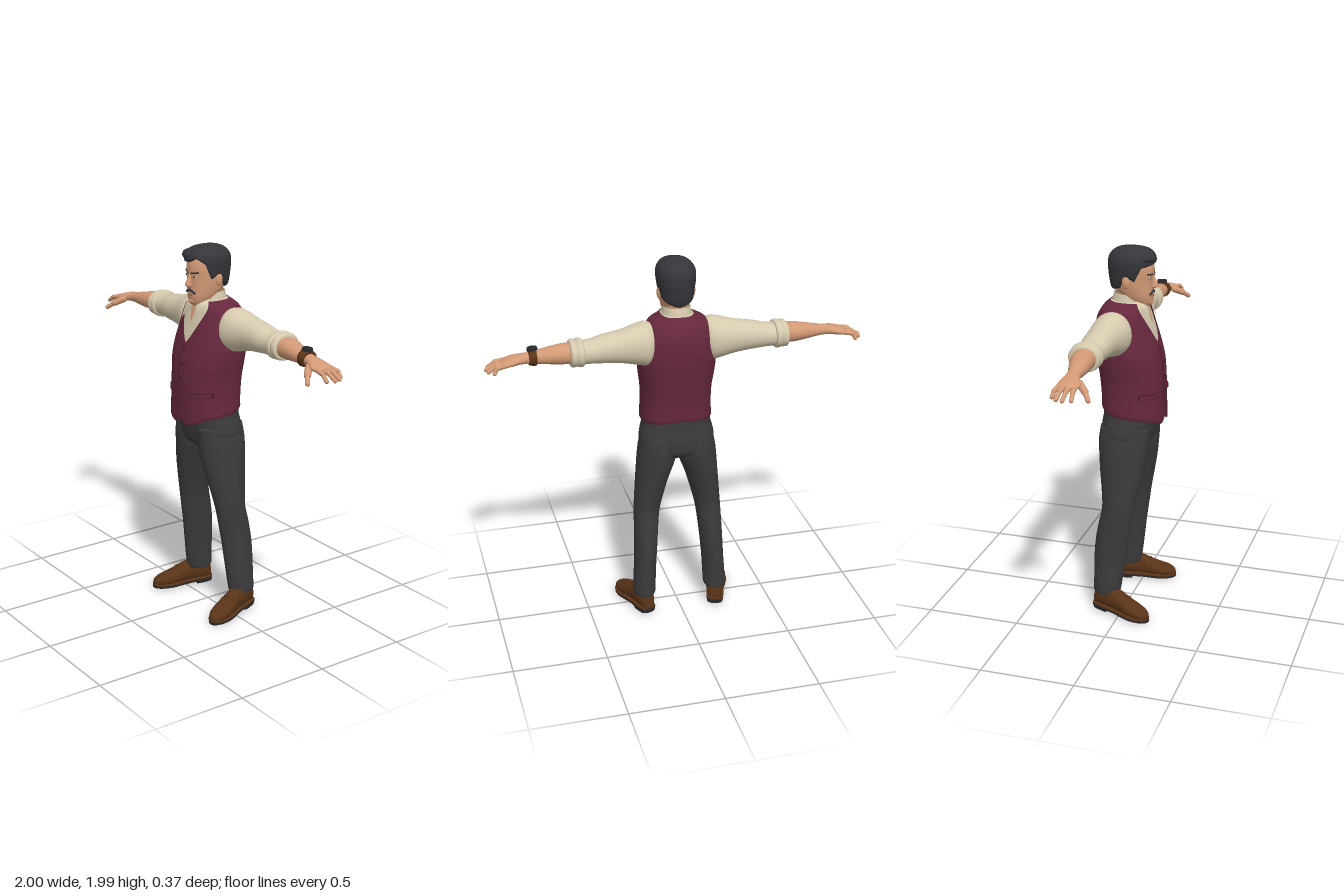
import * as THREE from 'three';
import { mergeVertices } from 'three/addons/utils/BufferGeometryUtils.js';

const mat = (name, color, side = THREE.FrontSide) => {
  const m = new THREE.MeshStandardMaterial({ color, side });
  m.name = name;
  return m;
};
const M = {
  skin: mat('skin', 0xd39a76, THREE.DoubleSide), hair: mat('hair', 0x35363a, THREE.DoubleSide),
  vest: mat('burgundy cloth', 0x66283d, THREE.DoubleSide), trim: mat('dark burgundy', 0x4a1b2b),
  shirt: mat('cream cotton', 0xd6caae, THREE.DoubleSide), trousers: mat('charcoal wool', 0x3b3b3d),
  leather: mat('brown leather', 0x5a3418), dark: mat('dark rubber', 0x27272a),
  lip: mat('lips', 0xa8655a), white: mat('eye white', 0xd8d2ca),
};

// Sections are [along, aMin, aMax, bMin, bMax]; t runs over the section index.
function sample(S, t) {
  const i = Math.min(Math.max(Math.floor(t), 0), S.length - 2), f = t - i;
  const at = (k) => S[Math.min(Math.max(k, 0), S.length - 1)];
  return S[i].map((_, c) => {
    const [p0, p1, p2, p3] = [at(i - 1)[c], at(i)[c], at(i + 1)[c], at(i + 2)[c]];
    const a = (p2 - p0) / 2, b = (p3 - p1) / 2;
    return ((2 * p1 - 2 * p2 + a + b) * f + (3 * p2 - 3 * p1 - 2 * a - b)) * f * f + a * f + p1;
  });
}
const spow = (v, e) => Math.sign(v) * Math.abs(v) ** e;
// Piecewise-linear function through [x, y] pairs
const pw = (P) => (x) => {
  const i = Math.max(1, P.findIndex((p) => p[0] >= x) === -1 ? P.length - 1 : P.findIndex((p) => p[0] >= x));
  const [a, b] = [P[i - 1], P[i]];
  return a[1] + (b[1] - a[1]) * THREE.MathUtils.clamp((x - a[0]) / (b[0] - a[0]), 0, 1);
};

// Lofted superellipse surface whose two ends may vary with the angle around it
function loft(S, { axis = 'y', n = 2, nu = 32, nv = 28, bot = () => 0, top = () => S.length - 1, rim = 1, cap = true } = {}) {
  const pos = [], idx = [], put = (x, y, z) =>
    pos.push(...(axis === 'y' ? [x, y, z] : axis === 'x' ? [y, z, x] : [z, x, y]));
  for (let j = 0; j <= nv; j++) for (let i = 0; i < nu; i++) {
    const th = (i / nu) * 2 * Math.PI, signed = th > Math.PI ? th - 2 * Math.PI : th;
    const [s, a0, a1, b0, b1] = sample(S, THREE.MathUtils.lerp(bot(signed), top(signed), j / nv));
    const k = j === 0 ? rim : 1;
    put((a0 + a1) / 2 + k * (a1 - a0) / 2 * spow(Math.sin(th), 2 / n), s,
      (b0 + b1) / 2 + k * (b1 - b0) / 2 * spow(Math.cos(th), 2 / n));
  }
  for (let j = 0; j < nv; j++) for (let i = 0; i < nu; i++) {
    const a = j * nu + i, b = j * nu + (i + 1) % nu;
    idx.push(a, b, b + nu, a, b + nu, a + nu);
  }
  if (cap) [0, S.length - 1].forEach((k, e) => {
    const [s, a0, a1, b0, b1] = S[k], c = pos.length / 3, r = e * nv * nu;
    put((a0 + a1) / 2, s, (b0 + b1) / 2);
    for (let i = 0; i < nu; i++) {
      const p = r + i, q = r + (i + 1) % nu;
      idx.push(c, e ? p : q, e ? q : p);
    }
  });
  const g = new THREE.BufferGeometry();
  g.setAttribute('position', new THREE.Float32BufferAttribute(pos, 3));
  g.setIndex(idx);
  g.computeVertexNormals();
  return g;
}

// Front z of a vertical loft at (x, y)
function frontZ(S, n, x, y) {
  let lo = 0, hi = S.length - 1;
  for (let k = 0; k < 24; k++) { const m = (lo + hi) / 2; if (sample(S, m)[0] < y) lo = m; else hi = m; }
  const [, a0, a1, b0, b1] = sample(S, lo);
  const q = Math.min(1, Math.abs(x - (a0 + a1) / 2) / ((a1 - a0) / 2));
  return (b0 + b1) / 2 + (b1 - b0) / 2 * (1 - q ** n) ** (1 / n);
}
// Press a geometry onto the front of a loft
function conform(g, S, n, off) {
  const p = g.attributes.position;
  for (let i = 0; i < p.count; i++) p.setZ(i, p.getZ(i) + frontZ(S, n, p.getX(i), p.getY(i)) + off);
  g.computeVertexNormals();
  return g;
}
// Subdivided quad from corners: top left, top right, bottom left, bottom right
function quad(a, b, c, d) {
  const g = new THREE.PlaneGeometry(1, 1, 8, 8), p = g.attributes.position, L = THREE.MathUtils.lerp;
  for (let i = 0; i < p.count; i++) {
    const u = p.getX(i) + 0.5, v = 0.5 - p.getY(i);
    p.setXY(i, L(L(a[0], b[0], u), L(c[0], d[0], u), v), L(L(a[1], b[1], u), L(c[1], d[1], u), v));
  }
  return g;
}
function capsule(a, b, r) {
  const A = new THREE.Vector3(...a), d = new THREE.Vector3(...b).sub(A);
  const g = new THREE.CapsuleGeometry(r, d.length(), 5, 12);
  g.applyQuaternion(new THREE.Quaternion().setFromUnitVectors(new THREE.Vector3(0, 1, 0), d.clone().normalize()));
  return g.translate(...A.addScaledVector(d, 0.5).toArray());
}
const ball = (x, y, z, rx, ry, rz) => new THREE.SphereGeometry(1, 20, 14).scale(rx, ry, rz).translate(x, y, z);
function add(parent, name, geo, material) {
  const m = new THREE.Mesh(geo, material);
  m.name = name;
  parent.add(m);
  return m;
}
// Baked mirror copy across x = 0
function mirrored(src, name) {
  const out = new THREE.Group();
  out.name = name;
  src.updateMatrixWorld(true);
  src.traverse((m) => {
    if (!m.isMesh) return;
    let g = m.geometry.clone();
    if (!g.index) g = mergeVertices(g);
    g.applyMatrix4(m.matrixWorld).scale(-1, 1, 1);
    const ix = g.index.array;
    for (let i = 0; i < ix.length; i += 3) [ix[i], ix[i + 1]] = [ix[i + 1], ix[i]];
    add(out, m.name, g, m.material);
  });
  return out;
}

const sym = (y, rx, zb, zf) => [y, -rx, rx, zb, zf];
const TORSO = [sym(1.06, .185, -.14, .183), sym(1.12, .19, -.15, .18), sym(1.2, .186, -.152, .178), sym(1.3, .187, -.16, .175),
  sym(1.4, .2, -.172, .165), sym(1.48, .203, -.182, .145), sym(1.56, .188, -.185, .122), sym(1.63, .175, -.175, .1),
  sym(1.68, .15, -.15, .085), sym(1.71, .09, -.12, .072), sym(1.725, .068, -.09, .062)];
const TN = 2.4;
const HEAD = [sym(1.685, .03, .03, .085), sym(1.7, .05, -.02, .104), sym(1.735, .068, -.05, .112), sym(1.78, .08, -.085, .111),
  sym(1.83, .085, -.105, .111), sym(1.88, .087, -.115, .116), sym(1.93, .082, -.11, .105), sym(1.965, .06, -.08, .075), sym(1.98, .02, -.03, .03)];
const HN = 2.2;
const HAIR = [sym(1.76, .08, -.1, .1), sym(1.8, .088, -.114, .108), sym(1.85, .094, -.122, .117), sym(1.9, .101, -.125, .123),
  sym(1.945, .098, -.12, .124), sym(1.978, .075, -.092, .1), sym(1.993, .038, -.05, .05), sym(1.995, .004, -.006, .006)];

function buildTorso() {
  const g = new THREE.Group();
  g.name = 'torso';
  const inner = TORSO.map(([y, a, b, c, d]) => [y, a + .007, b - .007, c + .007, d - .007]);
  add(g, 'shirt body', loft(inner.slice(4), { n: TN, nu: 64 }), M.shirt);
  // Waistcoat with V neck and pointed hem
  const hem = pw([[0, .55], [.2, .1], [.9, .75], [Math.PI, 1.4]]), neck = pw([[0, 5.2], [.85, 9.1], [Math.PI, 9.3]]);
  add(g, 'waistcoat', loft(TORSO, { n: TN, nu: 96, nv: 48, bot: (a) => hem(Math.abs(a)), top: (a) => neck(Math.abs(a)), rim: .97, cap: false }), M.vest);
  add(g, 'waistcoat opening', conform(new THREE.BoxGeometry(.005, .38, .004, 1, 24, 1).translate(-.016, 1.3, 0), TORSO, TN, .001), M.trim);
  for (let i = 0; i < 5; i++) {
    const y = 1.17 + i * .073;
    add(g, 'button', ball(.006, y, frontZ(TORSO, TN, .006, y) + .002, .008, .008, .005), M.trim);
  }
  for (const s of [-1, 1]) {
    const pocket = (w, h) => new THREE.BoxGeometry(w, h, .006, 10, 1, 1).rotateZ(s * .08).translate(s * .125, 1.237, 0);
    add(g, 'pocket edge', conform(pocket(.1, .027), TORSO, TN, .001), M.trim);
    add(g, 'pocket welt', conform(pocket(.092, .018), TORSO, TN, .005), M.vest);
    add(g, 'collar leaf', conform(quad([s * .026, 1.722], [s * .068, 1.724], [s * .03, 1.67], [s * .078, 1.605]), TORSO, TN, .013), M.shirt);
  }
  add(g, 'open throat', conform(quad([-.032, 1.72], [.032, 1.72], [-.003, 1.6], [.003, 1.6]), TORSO, TN, .001), M.skin);
  const band = pw([[0, 0], [.45, 1], [1, 1.8], [Math.PI, 2]]);
  add(g, 'collar band', loft([sym(1.685, .086, -.115, .075), sym(1.72, .076, -.105, .07), sym(1.758, .068, -.093, .06)],
    { nu: 48, nv: 8, top: (a) => band(Math.abs(a)), cap: false }), M.shirt);
  add(g, 'neck', loft([sym(1.64, .062, -.08, .06), sym(1.7, .06, -.08, .056), sym(1.77, .062, -.085, .06)]), M.skin);
  return g;
}

function buildHead() {
  const g = new THREE.Group();
  g.name = 'head';
  const on = (x, y, o = 0) => [x, y, frontZ(HEAD, HN, x, y) + o];
  add(g, 'face', loft(HEAD, { n: HN, nu: 48 }), M.skin);
  const line = pw([[-Math.PI, .1], [-1.95, .8], [-1.6, 2], [-1.25, 1.5], [-.95, 3], [0, 3.3], [.5, 3.8], [.95, 3.2], [1.25, 1.5], [1.6, 2], [1.95, .8], [Math.PI, .1]]);
  add(g, 'hair', loft(HAIR, { n: 2.15, nu: 96, nv: 28, bot: line, rim: .9, cap: false }), M.hair);
  add(g, 'swept fringe', ball(-.02, 1.948, .085, .06, .032, .045).rotateZ(0), M.hair);
  add(g, 'nose', loft([sym(1.783, .009, .1, .117), sym(1.793, .018, .1, .135), sym(1.808, .014, .1, .137), sym(1.842, .009, .1, .121), sym(1.865, .008, .1, .115)], { nu: 20, nv: 14 }), M.skin);
  add(g, 'mouth', ball(...on(0, 1.748, -.002), .024, .006, .006), M.lip);
  add(g, 'chin', ball(0, 1.713, .09, .03, .02, .024), M.skin);
  for (const s of [-1, 1]) {
    add(g, 'eye', ball(...on(s * .034, 1.844, -.001), .014, .006, .004), M.white);
    add(g, 'iris', ball(...on(s * .034, 1.844, .001), .006, .006, .0035), M.dark);
    add(g, 'eyebrow', capsule(on(s * .015, 1.86), on(s * .052, 1.866), .0048), M.hair);
    add(g, 'moustache', capsule(on(s * .005, 1.771, .001), on(s * .033, 1.758, .001), .0065), M.hair);
    add(g, 'ear', ball(s * .09, 1.825, -.008, .011, .034, .02), M.skin);
  }
  return g;
}

function buildArm() {
  const g = new THREE.Group();
  g.name = 'left arm';
  const o = { axis: 'x', n: 2.1 };
  add(g, 'sleeve', loft([[.12, -.12, .015, 1.5, 1.665], [.165, -.152, .048, 1.458, 1.688], [.21, -.155, .044, 1.465, 1.685], [.3, -.15, .02, 1.488, 1.662],
    [.4, -.146, .01, 1.5, 1.645], [.47, -.142, .0, 1.505, 1.628], [.53, -.145, 0, 1.505, 1.628]], o), M.shirt);
  add(g, 'rolled cuff', loft([[.502, -.138, -.005, 1.512, 1.62], [.508, -.157, .01, 1.497, 1.637], [.53, -.158, .012, 1.495, 1.64], [.54, -.152, .006, 1.5, 1.634],
    [.552, -.157, .01, 1.497, 1.638], [.569, -.152, .006, 1.5, 1.633], [.574, -.136, -.005, 1.513, 1.62]], o), M.shirt);
  add(g, 'forearm and palm', loft([[.55, -.13, -.01, 1.515, 1.622], [.62, -.126, -.01, 1.515, 1.617], [.7, -.106, -.012, 1.521, 1.6], [.77, -.087, -.018, 1.527, 1.585],
    [.82, -.09, -.005, 1.527, 1.577], [.86, -.098, .012, 1.522, 1.567], [.9, -.098, .006, 1.52, 1.555], [.913, -.08, -.01, 1.527, 1.547]], o), M.skin);
  // Four fingers and a thumb: base z, tip z, tip x
  for (const [zb, zt, x] of [[-.086, -.098, .955], [-.06, -.069, .982], [-.033, -.036, .99], [-.006, .004, .976]]) {
    const mid = [.94, 1.531, (zb + zt) / 2];
    add(g, 'finger', capsule([.885, 1.54, zb], mid, .0125), M.skin);
    add(g, 'fingertip', capsule(mid, [x, 1.505, zt], .0105), M.skin);
  }
  add(g, 'thumb base', capsule([.83, 1.54, -.005], [.87, 1.515, .035], .018), M.skin);
  add(g, 'thumb', capsule([.87, 1.515, .035], [.905, 1.487, .062], .0125), M.skin);
  return g;
}

function buildLeg() {
  const g = new THREE.Group();
  g.name = 'left leg';
  add(g, 'trouser leg', loft([[.112, .142, .258, -.153, -.012], [.13, .138, .26, -.156, -.006], [.2, .135, .257, -.155, .005], [.3, .13, .25, -.155, .018], [.4, .122, .246, -.15, .03],
    [.5, .113, .243, -.135, .045], [.6, .1, .24, -.115, .06], [.7, .075, .233, -.122, .08], [.8, .045, .225, -.135, .1], [.9, .008, .217, -.146, .115],
    [.97, .0, .208, -.15, .122], [1.05, .01, .19, -.14, .125]], { n: 1.9, nv: 44 }), M.trousers);
  // Shoe built along its own z, then turned out
  const shoe = new THREE.Group();
  shoe.name = 'shoe';
  const S = [[-.166, .02, .07, -.018, .018], [-.155, .01, .11, -.037, .037], [-.1, .01, .132, -.044, .044], [-.03, .01, .125, -.043, .043], [.03, .01, .098, -.051, .051],
    [.08, .01, .078, -.055, .055], [.13, .01, .064, -.045, .045], [.16, .012, .05, -.026, .026], [.17, .02, .035, -.01, .01]];
  add(shoe, 'shoe upper', loft(S, { axis: 'z', n: 2.3 }), M.leather);
  add(shoe, 'welt', loft(S.map(([z, , , a, b]) => [z * 1.02, .012, .024, a * 1.1, b * 1.1]), { axis: 'z', n: 6, nu: 40 }), M.leather);
  add(shoe, 'sole', loft(S.map(([z, , , a, b]) => [z * 1.02, 0, .013, a * 1.08, b * 1.08]), { axis: 'z', n: 6, nu: 40 }), M.dark);
  add(shoe, 'heel', loft([[-.166, -.012, .01, -.02, .02], [-.152, -.012, .01, -.04, .04], [-.11, -.012, .01, -.046, .046], [-.075, -.012, .01, -.046, .046]], { axis: 'z', n: 6 }), M.dark);
  add(shoe, 'shoe strap', new THREE.TorusGeometry(.047, .006, 8, 24, Math.PI).scale(1, 1.1, 1.6).rotateX(-.35).translate(0, .052, .035), M.leather);
  shoe.rotation.set(.065, .3, 0, 'YXZ');
  shoe.position.set(.235, .012, .008);
  g.add(shoe);
  return g;
}

export function createModel() {
  const man = new THREE.Group();
  man.name = 'man in waistcoat';
  const arm = buildArm(), leg = buildLeg();
  man.add(buildTorso(), buildHead(), mirrored(arm, 'right arm'), mirrored(leg, 'right leg'), arm, leg);
  add(man, 'trouser seat', loft([sym(.915, .07, -.09, .07), sym(.95, .16, -.14, .11), sym(1, .2, -.15, .125), sym(1.06, .195, -.148, .135),
    sym(1.1, .184, -.142, .14), sym(1.16, .176, -.138, .14)], { n: 2.3, nu: 48 }), M.trousers);
  add(man, 'fly seam', new THREE.BoxGeometry(.004, .1, .004).rotateX(-.1).translate(.012, 1.03, .133), M.dark);
  // Wristwatch on the left wrist
  const watch = new THREE.Group();
  watch.name = 'wristwatch';
  add(watch, 'strap', loft([[.738, -.1, -.006, 1.517, 1.601], [.743, -.103, -.003, 1.514, 1.604], [.772, -.099, -.006, 1.517, 1.598], [.777, -.096, -.01, 1.52, 1.594]], { axis: 'x', n: 2.1, nv: 8 }), M.leather);
  add(watch, 'dial', new THREE.CylinderGeometry(.026, .028, .012, 24).rotateZ(-.1).translate(.757, 1.604, -.053), M.dark);
  man.add(watch);
  return man;
}
